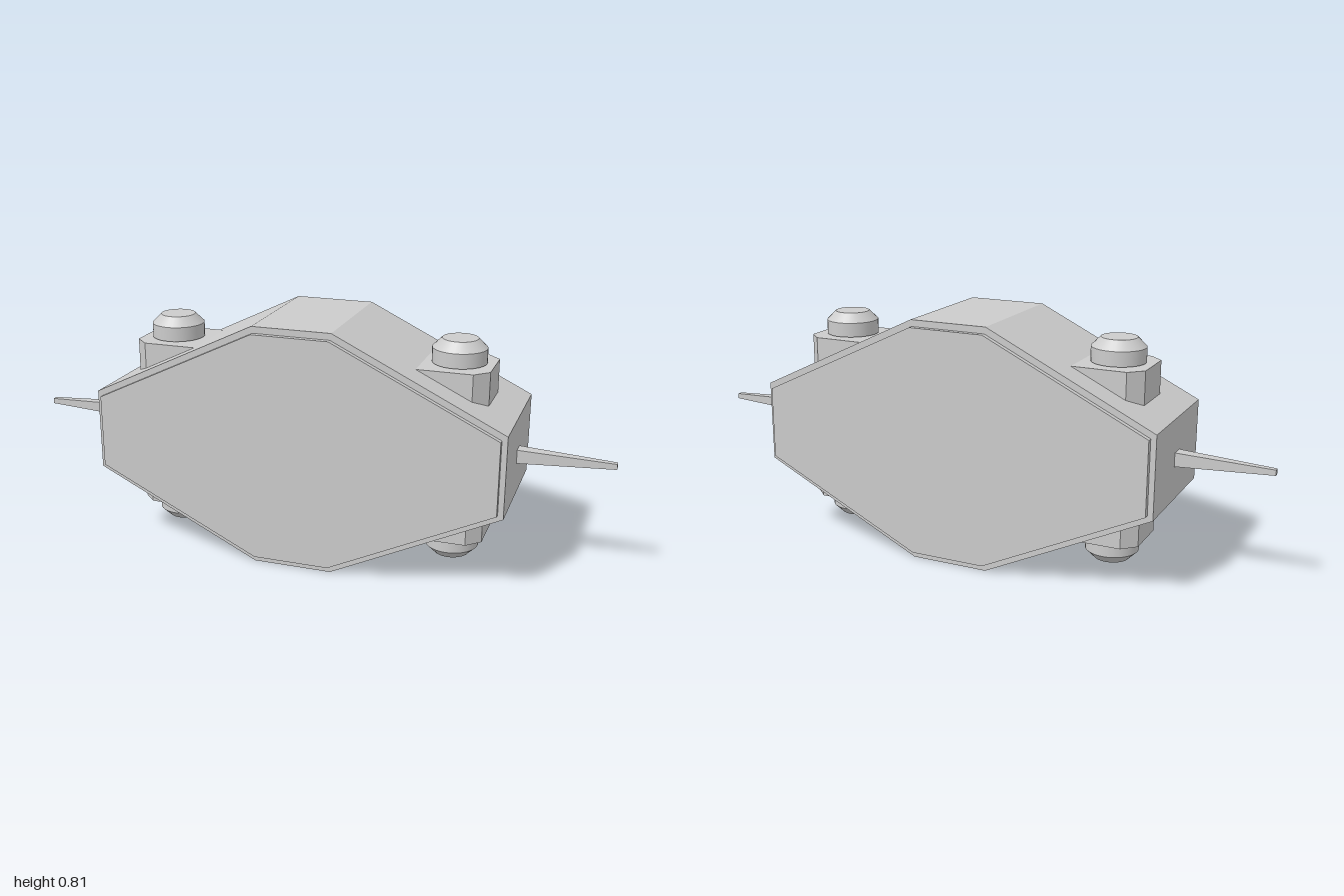
import * as THREE from 'three';

const MID = 0.405; // height of the horizontal symmetry plane

export function createModel() {
  const model = new THREE.Group();
  const flat = new THREE.MeshStandardMaterial({ color: 0xcccccc, flatShading: true });
  const smooth = new THREE.MeshStandardMaterial({ color: 0xcccccc });

  const add = (parent, name, geometry, material = flat) => {
    const mesh = new THREE.Mesh(geometry, material);
    mesh.name = name;
    parent.add(mesh);
    return mesh;
  };

  // Extruded polygon, starting at z = z0
  const slab = (points, z0, depth) => {
    const shape = new THREE.Shape(points.map(([x, y]) => new THREE.Vector2(x, y)));
    return new THREE.ExtrudeGeometry(shape, { depth, bevelEnabled: false }).translate(0, 0, z0);
  };

  // Elongated octagon centred on the origin
  const octagon = (w, h, topW, sideH) => [
    [w, -sideH], [w, sideH], [topW, h], [-topW, h],
    [-w, sideH], [-w, -sideH], [-topW, -h], [topW, -h],
  ];

  const body = new THREE.Group();
  body.name = 'body';
  body.position.y = MID;
  model.add(body);

  // Main hull with a slightly smaller cover plate on each face
  add(body, 'hull', slab(octagon(0.69, MID, 0.132, 0.135), -0.22, 0.44));
  const plate = octagon(0.672, 0.383, 0.128, 0.121);
  add(body, 'frontPlate', slab(plate, 0.21, 0.028));
  add(body, 'backPlate', slab(plate, -0.238, 0.028));

  // Tapered square spikes on both ends
  for (const side of [1, -1]) {
    const spike = new THREE.CylinderGeometry(0.009 * Math.SQRT2, 0.023 * Math.SQRT2, 0.32, 4)
      .rotateY(Math.PI / 4).rotateZ(-Math.PI / 2).translate(0.84, 0, 0);
    add(body, side > 0 ? 'leftSpike' : 'rightSpike', spike).rotation.y = side > 0 ? 0 : Math.PI;
  }

  // Mount plan: box with chamfered outer corners, its inner end sunk in the hull
  const mountPlan = [
    [0.36, -0.122], [0.557, -0.122], [0.602, -0.078],
    [0.602, 0.078], [0.557, 0.122], [0.36, 0.122],
  ];

  // Four corner units, turned into place from the upper left one
  for (const flip of [0, Math.PI]) {
    for (const turn of [0, Math.PI]) {
      const unit = new THREE.Group();
      unit.name = (flip ? 'lower' : 'upper') + (turn ? 'Right' : 'Left') + 'Unit';
      unit.rotation.set(flip, turn, 0);
      body.add(unit);

      add(unit, 'mount', slab(mountPlan, 0, 0.2).rotateX(-Math.PI / 2).translate(0, 0.087, 0));

      // Round cap: straight collar, then a bevelled top
      const collar = new THREE.CylinderGeometry(0.088, 0.088, 0.048, 32, 1);
      add(unit, 'collar', collar, smooth).position.set(0.488, 0.314, 0);
      const bevel = new THREE.CylinderGeometry(0.058, 0.088, 0.03, 32, 1);
      add(unit, 'bevel', bevel, smooth).position.set(0.488, 0.353, 0);
    }
  }
  return model;
}
